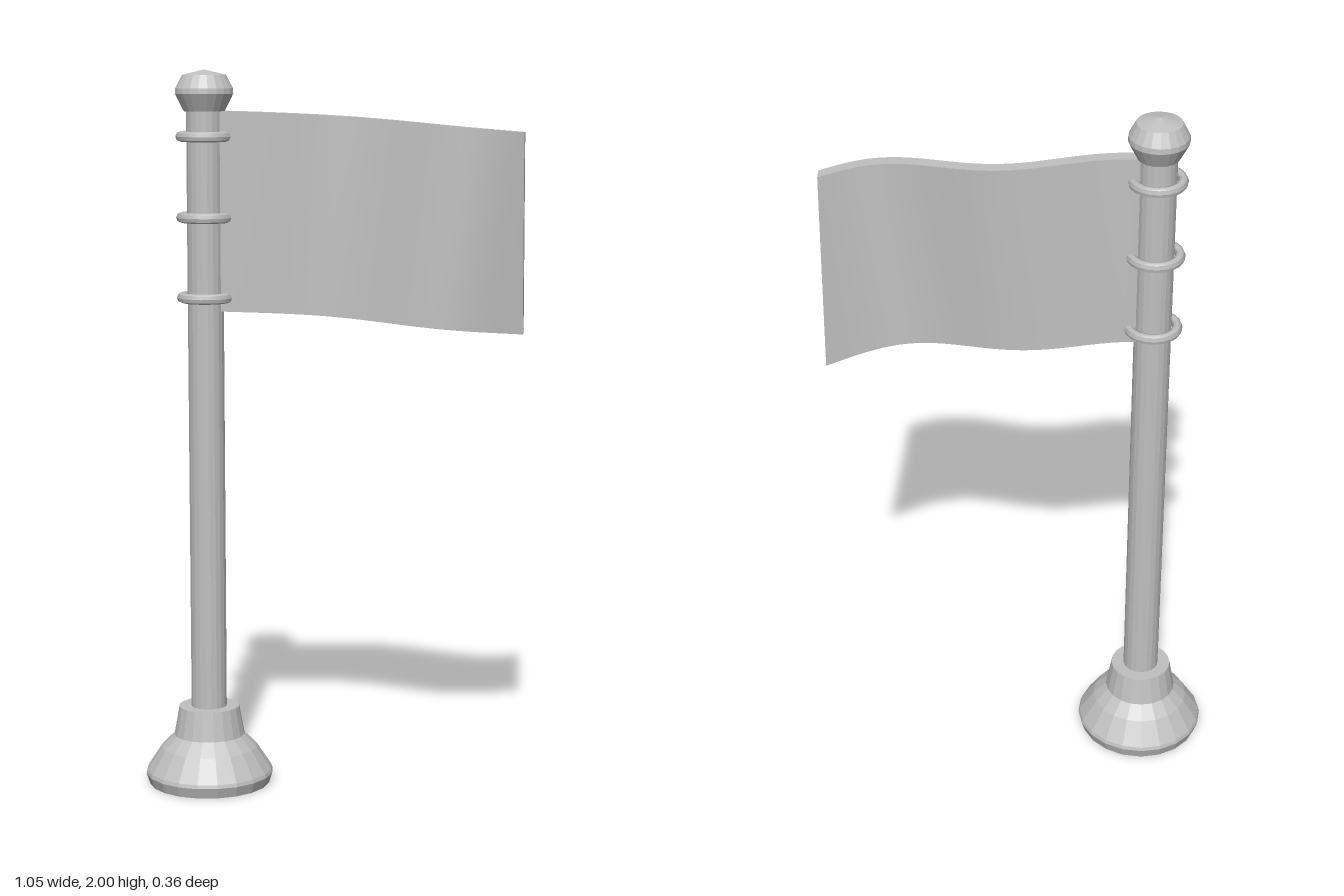
import * as THREE from 'three';
import { toCreasedNormals } from 'three/addons/utils/BufferGeometryUtils.js';

const POLE_X = -0.347;
const SIDES = 20;

export function createModel() {
  const group = new THREE.Group();
  group.name = 'flagOnPole';
  const grey = new THREE.MeshStandardMaterial({ color: 0xc0c0c0 });
  grey.name = 'plain grey';

  const add = (name, geometry, crease, x = 0, y = 0) => {
    const mesh = new THREE.Mesh(toCreasedNormals(geometry, crease), grey);
    mesh.name = name;
    mesh.position.set(x, y, 0);
    group.add(mesh);
    return mesh;
  };
  // Faceted turned part from [radius, height] pairs, bottom to top
  const turned = (name, profile) => add(
    name,
    new THREE.LatheGeometry(profile.map(([r, y]) => new THREE.Vector2(r, y)), SIDES),
    0.05, POLE_X);

  // Stepped foot with a tapered collar
  turned('base', [[0, 0], [0.17, 0], [0.18, 0.03], [0.177, 0.04], [0.135, 0.105],
    [0.1, 0.14], [0.085, 0.222], [0, 0.222]]);
  turned('pole', [[0, 0.2], [0.05, 0.2], [0.05, 1.9], [0, 1.9]]);
  turned('finial', [[0, 1.888], [0.056, 1.888], [0.08, 1.935], [0.079, 1.95],
    [0.06, 1.986], [0, 2]]);

  // Rings holding the flag
  for (const y of [1.38, 1.6, 1.82]) {
    const ring = new THREE.TorusGeometry(0.066, 0.014, 8, SIDES).rotateX(Math.PI / 2);
    add('ring', ring, 0.9, POLE_X, y);
  }

  // Flag: a slab bent into a growing wave that leans with height and droops outward
  const x0 = -0.31, x1 = 0.525, height = 0.546, thickness = 0.037;
  const flag = new THREE.BoxGeometry(x1 - x0, height, thickness, 40, 8, 1);
  const p = flag.attributes.position;
  for (let i = 0; i < p.count; i++) {
    const x = p.getX(i) + (x0 + x1) / 2;
    const s = Math.max(0, x + 0.3);
    const down = 0.5 - p.getY(i) / height;
    const amplitude = 0.07 * Math.pow(s, 0.75);
    const wave = -amplitude * Math.cos(2 * Math.PI * x / 0.72 + 0.68 * down);
    const droop = 0.053 * Math.pow(s / 0.825, 1.5);
    p.setXYZ(i, x, 1.889 - down * height - droop, p.getZ(i) + wave);
  }
  add('flag', flag, 0.6);

  return group;
}
